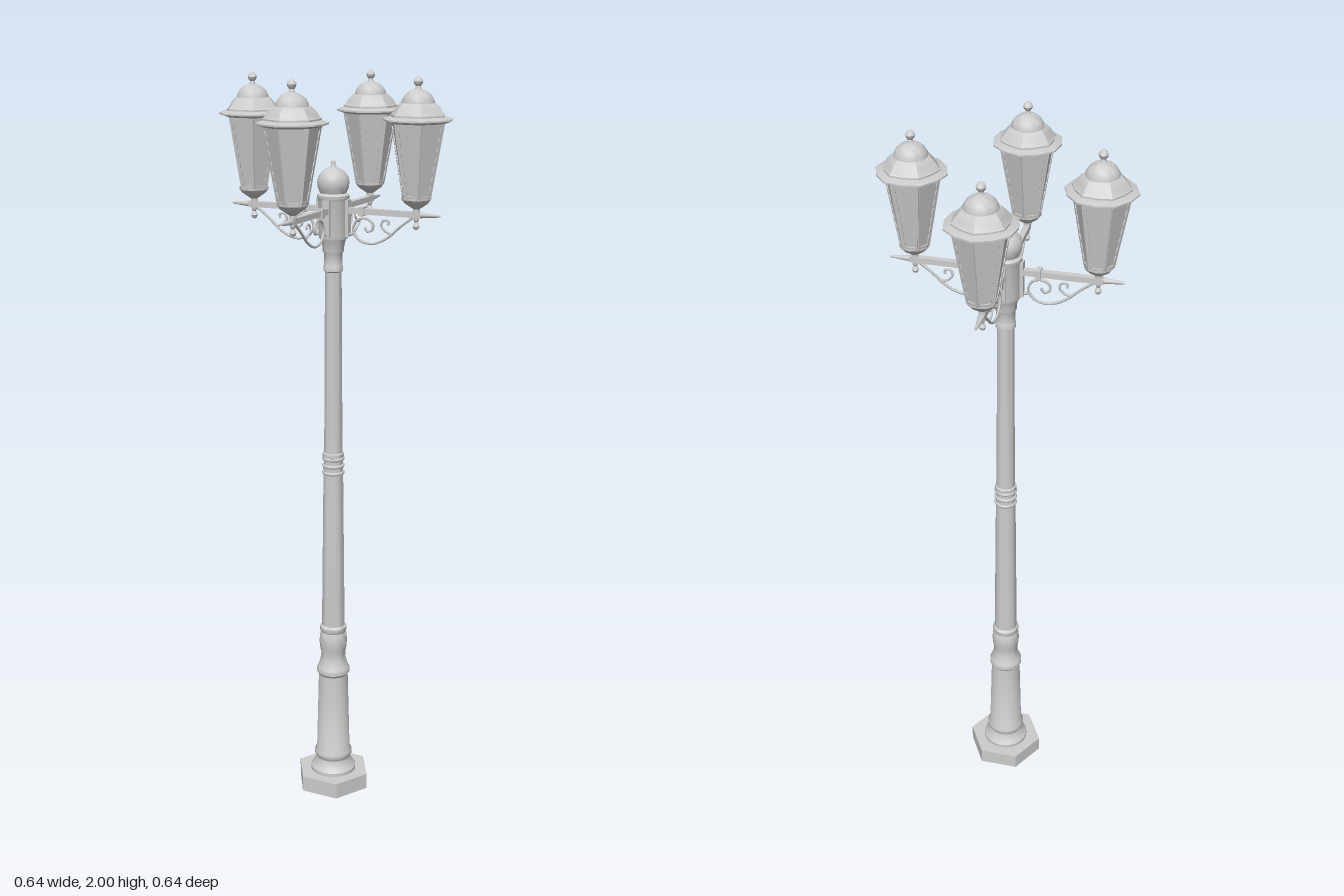
import * as THREE from 'three';
import { toCreasedNormals } from 'three/addons/utils/BufferGeometryUtils.js';

const metal = new THREE.MeshStandardMaterial({ color: 0xcccccc, side: THREE.DoubleSide });

function add(parent, name, geometry, x = 0, y = 0, z = 0) {
  const mesh = new THREE.Mesh(geometry, metal);
  mesh.name = name;
  mesh.position.set(x, y, z);
  parent.add(mesh);
  return mesh;
}

// Turned part from [radius, height] pairs
function turned(profile, sides = 24, crease = 0.6) {
  const points = profile.map(([r, y]) => new THREE.Vector2(r, y));
  return toCreasedNormals(new THREE.LatheGeometry(points, sides), crease);
}

// Hexagonal turned part whose sides bow outwards a little
function bowedHex(profile, bow) {
  const geo = new THREE.LatheGeometry(profile.map(([r, y]) => new THREE.Vector2(r, y)), 12);
  const pos = geo.attributes.position;
  for (let i = 0; i < pos.count; i++) {
    const odd = Math.floor(i / profile.length) % 2;
    if (odd) pos.setXYZ(i, pos.getX(i) * bow, pos.getY(i), pos.getZ(i) * bow);
  }
  return toCreasedNormals(geo, 0.4);
}

// Trapezoid lantern frame with a scalloped opening
function panelFrame(bottom, top, height) {
  const shape = new THREE.Shape([
    new THREE.Vector2(-bottom / 2, 0), new THREE.Vector2(bottom / 2, 0),
    new THREE.Vector2(top / 2, height), new THREE.Vector2(-top / 2, height),
  ]);
  const left = [], right = [], steps = 28;
  for (let i = 0; i <= steps; i++) {
    const t = 0.05 + 0.9 * i / steps;
    const edge = (bottom + (top - bottom) * t) / 2 - 0.006 - 0.0025 * Math.abs(Math.sin(i / steps * Math.PI * 7));
    left.push(new THREE.Vector2(-edge, t * height));
    right.push(new THREE.Vector2(edge, t * height));
  }
  shape.holes.push(new THREE.Path([...left, ...right.reverse()]));
  return new THREE.ExtrudeGeometry(shape, { depth: 0.003, bevelEnabled: false });
}

function createLantern() {
  const lantern = new THREE.Group();
  lantern.name = 'lantern';
  const y0 = 1.70, y1 = 1.89, rBottom = 0.036, rTop = 0.07;

  // Tapered glass body with a framed panel on each of six sides
  add(lantern, 'glassBody', turned([[0, y0], [rBottom, y0], [rTop, y1], [0, y1]], 6, 0.3));
  const spread = (rTop - rBottom) * Math.cos(Math.PI / 6);
  const frame = panelFrame(rBottom, rTop, Math.hypot(y1 - y0, spread));
  for (let i = 0; i < 6; i++) {
    const side = new THREE.Group();
    side.name = 'panelSide';
    side.rotation.y = (i + 0.5) * Math.PI / 3;
    const panel = add(side, 'panelFrame', frame, 0, y0, rBottom * Math.cos(Math.PI / 6));
    panel.rotation.x = Math.atan2(spread, y1 - y0);
    lantern.add(side);
  }

  // Cup and stem under the body
  add(lantern, 'lanternCup', turned([
    [0.038, 1.705], [0.038, 1.699], [0.031, 1.69], [0.018, 1.681], [0.009, 1.675], [0.009, 1.66], [0, 1.66],
  ], 12));

  // Wide brim and stepped roof
  add(lantern, 'brim', bowedHex([
    [0, 1.888], [0.072, 1.888], [0.09, 1.894], [0.09, 1.898], [0.073, 1.904], [0, 1.904],
  ], 0.965));
  add(lantern, 'roof', bowedHex([
    [0.072, 1.902], [0.072, 1.908], [0.067, 1.912], [0.06, 1.924], [0.05, 1.934], [0.046, 1.937], [0, 1.937],
  ], 0.93));
  add(lantern, 'roofDome', turned([
    [0.042, 1.935], [0.041, 1.943], [0.035, 1.954], [0.025, 1.963], [0.014, 1.968], [0.008, 1.97],
    [0.006, 1.977], [0.01, 1.982], [0.012, 1.988], [0.009, 1.995], [0.004, 1.999], [0, 2],
  ], 20));
  lantern.position.z = 0.232;
  return lantern;
}

// Scrolled wire in the plane of an arm, from [distance, height] pairs
function scroll(points, radius) {
  const curve = new THREE.CatmullRomCurve3(points.map(([z, y]) => new THREE.Vector3(0, y, z)));
  return new THREE.TubeGeometry(curve, 48, radius, 6);
}

function createArm() {
  const arm = new THREE.Group();
  arm.name = 'lanternArm';

  // Square bar, collar and pointed end
  add(arm, 'armBar', new THREE.BoxGeometry(0.016, 0.015, 0.215), 0, 1.66, 0.1375);
  add(arm, 'armCollar', new THREE.BoxGeometry(0.025, 0.023, 0.013), 0, 1.66, 0.083);
  const tip = add(arm, 'armTip', new THREE.CylinderGeometry(0.003, 0.008, 0.052, 8), 0, 1.66, 0.27);
  tip.rotation.x = Math.PI / 2;

  // Mounting plate on the head
  add(arm, 'mountPlate', new THREE.BoxGeometry(0.018, 0.095, 0.01), 0, 1.64, 0.041);

  // Scrollwork beneath the bar
  add(arm, 'mainScroll', scroll([
    [0.222, 1.652], [0.19, 1.628], [0.15, 1.594], [0.11, 1.578], [0.075, 1.585], [0.057, 1.61],
    [0.068, 1.636], [0.092, 1.642], [0.112, 1.63], [0.11, 1.613], [0.096, 1.609], [0.09, 1.619],
  ], 0.0035));
  add(arm, 'smallScroll', scroll([
    [0.165, 1.606], [0.148, 1.612], [0.136, 1.626], [0.142, 1.64], [0.156, 1.638], [0.155, 1.628],
  ], 0.003));
  add(arm, 'scrollFoot', scroll([[0.04, 1.60], [0.05, 1.599], [0.06, 1.603]], 0.0035));

  // Drop finial below the lantern
  add(arm, 'dropFinial', turned([
    [0, 1.621], [0.006, 1.624], [0.009, 1.631], [0.006, 1.638], [0.004, 1.641], [0.007, 1.646], [0.007, 1.655],
  ], 10), 0, 0, 0.232);

  arm.add(createLantern());
  return arm;
}

export function createModel() {
  const model = new THREE.Group();
  model.name = 'streetLamp';

  // Hollow hexagonal foot
  const foot = add(model, 'foot', turned([[0.1, 0.0], [0.106, 0], [0.106, 0.045], [0.04, 0.045], [0.04, 0.04], [0.1, 0.04], [0.1, 0]], 6, 0.3));
  foot.rotation.y = Math.PI / 2;

  // Turned column
  add(model, 'lowerColumn', turned([
    [0.064, 0.045], [0.064, 0.055], [0.057, 0.064], [0.049, 0.078], [0.048, 0.086], [0.053, 0.095], [0.053, 0.105],
    [0.047, 0.115], [0.041, 0.345], [0.046, 0.352], [0.046, 0.364], [0.041, 0.372], [0.035, 0.395],
    [0.034, 0.41], [0.037, 0.425], [0.039, 0.445], [0.037, 0.468], [0.034, 0.475], [0.037, 0.48],
    [0.037, 0.49], [0.031, 0.497],
  ]));
  add(model, 'shaft', turned([[0.032, 0.49], [0.027, 0.94], [0.025, 1.0], [0.022, 1.5]]));
  for (let i = 0; i < 3; i++) {
    const ring = add(model, 'shaftRing', new THREE.TorusGeometry(0.026, 0.005, 8, 24), 0, 0.945 + i * 0.02, 0);
    ring.rotation.x = Math.PI / 2;
  }
  add(model, 'shaftBand', turned([[0.024, 0.988], [0.029, 0.99], [0.029, 1.0], [0.024, 1.003]]));
  add(model, 'columnNeck', turned([
    [0.022, 1.497], [0.026, 1.5], [0.026, 1.512], [0.024, 1.516], [0.024, 1.545], [0.028, 1.552],
    [0.028, 1.56], [0.031, 1.575], [0.037, 1.59],
  ]));

  // Head with ball cap
  add(model, 'head', turned([
    [0, 1.585], [0.037, 1.585], [0.039, 1.595], [0.039, 1.685], [0.042, 1.69], [0.042, 1.697], [0.034, 1.703], [0, 1.703],
  ], 16));
  add(model, 'headCap', turned([
    [0.034, 1.702], [0.04, 1.716], [0.042, 1.73], [0.039, 1.744], [0.031, 1.756], [0.019, 1.764],
    [0.009, 1.768], [0.006, 1.775], [0.006, 1.782], [0, 1.788],
  ]));

  // Four arms with lanterns
  for (let i = 0; i < 4; i++) {
    const arm = createArm();
    arm.rotation.y = i * Math.PI / 2;
    model.add(arm);
  }
  return model;
}
